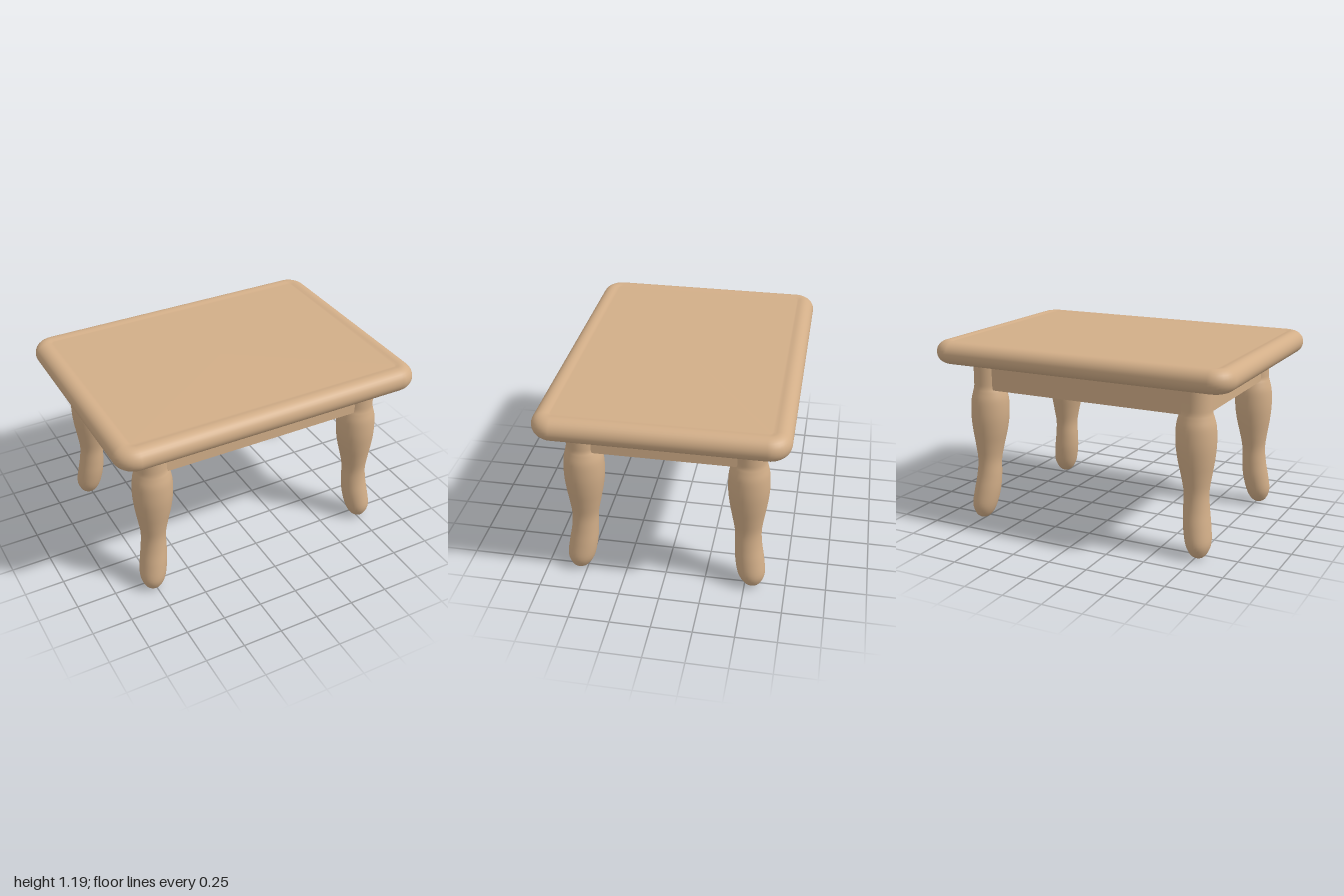
import * as THREE from 'three';

const wood = new THREE.MeshStandardMaterial({ color: 0xd2ae88 });
wood.name = 'light wood';

// Skin closed rings of equal point count, listed from bottom to top
function loft(rings) {
  const n = rings[0].length;
  const index = [];
  for (let r = 0; r < rings.length - 1; r++) {
    for (let i = 0; i < n; i++) {
      const a = r * n + i, b = r * n + (i + 1) % n;
      index.push(a, a + n, b, b, a + n, b + n);
    }
  }
  const g = new THREE.BufferGeometry().setFromPoints(rings.flat());
  g.setIndex(index);
  g.computeVertexNormals();
  return g;
}

function ellipseRing(cx, y, cz, rx, rz, n = 32) {
  return Array.from({ length: n }, (_, i) => {
    const t = (i / n) * Math.PI * 2;
    return new THREE.Vector3(cx + rx * Math.cos(t), y, cz + rz * Math.sin(t));
  });
}

function roundedRectRing(hx, hz, radius, y) {
  const ring = [], steps = 8;
  [[1, 1], [-1, 1], [-1, -1], [1, -1]].forEach(([sx, sz], q) => {
    for (let i = 0; i <= steps; i++) {
      const t = (q + i / steps) * Math.PI / 2;
      ring.push(new THREE.Vector3(
        sx * (hx - radius) + radius * Math.cos(t), y,
        sz * (hz - radius) + radius * Math.sin(t)));
    }
  });
  return ring;
}

// Slab with a bullnose edge and a very slightly sunken top
function tabletopGeometry() {
  const HX = 1, HZ = 0.745, R = 0.0725, midY = 1.1225;
  const at = (inset, y) => roundedRectRing(HX - inset, HZ - inset, 0.13 - inset, y);
  const rings = [roundedRectRing(0, 0, 0, midY - R), at(0.1, midY - R)];
  for (let i = 0; i <= 14; i++) {
    const t = -Math.PI / 2 + (i / 14) * Math.PI;
    rings.push(at(R - R * Math.cos(t), midY + R * Math.sin(t)));
  }
  rings.push(at(0.09, 1.193), at(0.105, 1.189), at(0.115, 1.189), roundedRectRing(0, 0, 0, 1.189));
  return loft(rings);
}

// Leg sections: y, inner x, outer x, inner z, outer z
const LEG = [
  [0.003, 0.765, 0.765, 0.545, 0.545],
  [0.012, 0.735, 0.795, 0.515, 0.578],
  [0.04, 0.706, 0.82, 0.483, 0.604],
  [0.1, 0.68, 0.838, 0.452, 0.622],
  [0.2, 0.66, 0.828, 0.433, 0.611],
  [0.3, 0.654, 0.813, 0.428, 0.594],
  [0.4, 0.654, 0.805, 0.424, 0.588],
  [0.5, 0.635, 0.817, 0.405, 0.6],
  [0.6, 0.611, 0.832, 0.386, 0.615],
  [0.7, 0.597, 0.84, 0.375, 0.624],
  [0.8, 0.597, 0.836, 0.377, 0.62],
  [0.86, 0.609, 0.822, 0.391, 0.607],
  [0.89, 0.62, 0.814, 0.403, 0.6],
  [0.93, 0.622, 0.813, 0.405, 0.598],
  [1.06, 0.622, 0.813, 0.405, 0.598],
];

function legGeometry(sx, sz) {
  const V = (x, y, z) => new THREE.Vector3(x, y, z);
  const curve = (pts) => new THREE.CatmullRomCurve3(pts, false, 'catmullrom', 0.5);
  const centres = curve(LEG.map(([y, a, b, c, d]) => V((a + b) / 2, y, (c + d) / 2)));
  const radii = curve(LEG.map(([y, a, b, c, d]) => V((b - a) / 2, y, (d - c) / 2)));
  const rings = [], steps = 56;
  for (let i = 0; i <= steps; i++) {
    const c = centres.getPoint(i / steps), r = radii.getPoint(i / steps);
    rings.push(ellipseRing(sx * c.x, c.y, sz * c.z, r.x, r.z));
  }
  return loft(rings);
}

export function createModel() {
  const model = new THREE.Group();
  model.name = 'table';
  const add = (name, geometry, x = 0, y = 0, z = 0) => {
    const mesh = new THREE.Mesh(geometry, wood);
    mesh.name = name;
    mesh.position.set(x, y, z);
    model.add(mesh);
  };

  add('tabletop', tabletopGeometry());

  // Four curved legs with round posts at the top
  for (const [sx, side] of [[1, 'Left'], [-1, 'Right']]) {
    for (const [sz, end] of [[1, 'front'], [-1, 'back']]) {
      add(`${end}${side}Leg`, legGeometry(sx, sz));
    }
  }

  // Apron rails between the posts
  const H = 0.175, T = 0.08, Y = 0.88 + H / 2;
  for (const [s, end, side] of [[1, 'front', 'left'], [-1, 'back', 'right']]) {
    add(`${end}Apron`, new THREE.BoxGeometry(1.4, H, T), 0, Y, s * 0.53);
    add(`${side}Apron`, new THREE.BoxGeometry(T, H, 0.98), s * 0.745, Y, 0);
  }
  return model;
}
